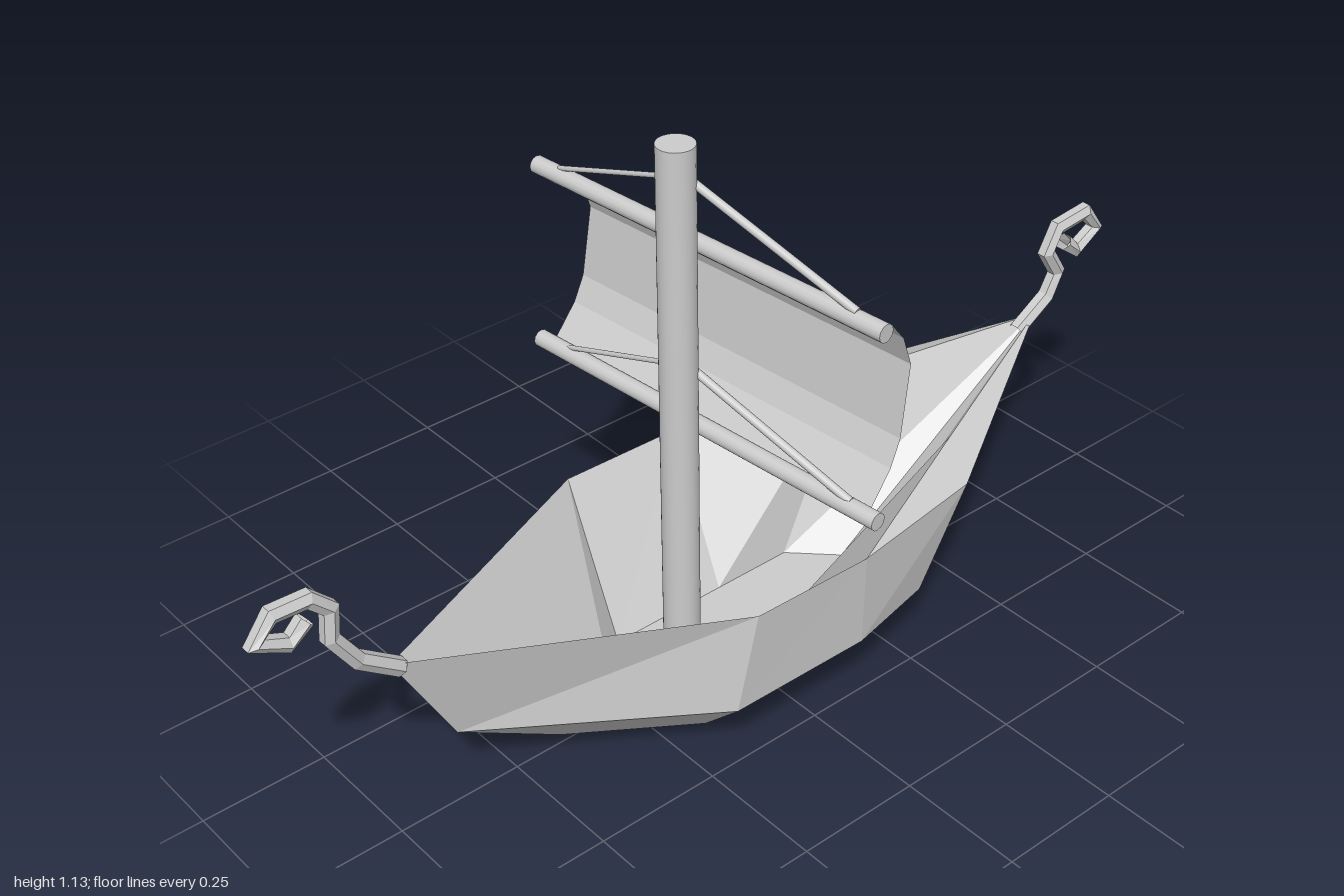
import * as THREE from 'three';

const flat = new THREE.MeshStandardMaterial({ color: 0xcccccc, flatShading: true, side: THREE.DoubleSide });
const smooth = new THREE.MeshStandardMaterial({ color: 0xcccccc });

function add(parent, name, geometry, material) {
  const mesh = new THREE.Mesh(geometry, material);
  mesh.name = name;
  parent.add(mesh);
  return mesh;
}

// Faceted surface through successive rows of [x, y, z] points
function loft(rows, flip = false) {
  const pos = [];
  for (let r = 0; r < rows.length - 1; r++) {
    for (let i = 0; i < rows[r].length - 1; i++) {
      const a = rows[r][i], b = rows[r][i + 1], c = rows[r + 1][i + 1], d = rows[r + 1][i];
      const tris = flip ? [a, b, d, b, c, d] : [a, d, b, b, d, c];
      tris.forEach((p) => pos.push(...p));
    }
  }
  const g = new THREE.BufferGeometry();
  g.setAttribute('position', new THREE.Float32BufferAttribute(pos, 3));
  g.computeVertexNormals();
  return g;
}

// Cylinder between two points
function rod(parent, name, from, to, radius, sides = 12) {
  const a = new THREE.Vector3(...from), b = new THREE.Vector3(...to);
  const dir = b.clone().sub(a);
  const mesh = add(parent, name, new THREE.CylinderGeometry(radius, radius, dir.length(), sides), smooth);
  mesh.position.copy(a).add(b).multiplyScalar(0.5);
  mesh.quaternion.setFromUnitVectors(new THREE.Vector3(0, 1, 0), dir.normalize());
  return mesh;
}

// Straight-segmented path whose tube rings fall on the corners
class CornerPath extends THREE.Curve {
  constructor(points) {
    super();
    this.points = points.map(([x, y]) => new THREE.Vector3(x, y, 0));
  }
  getPoint(t, target = new THREE.Vector3()) {
    const f = t * (this.points.length - 1);
    const i = Math.min(Math.floor(f), this.points.length - 2);
    return target.lerpVectors(this.points[i], this.points[i + 1], f - i);
  }
  getPointAt(u, target) { return this.getPoint(u, target); }
  getTangentAt(u, target) { return this.getTangent(u, target); }
}

export function createModel() {
  const group = new THREE.Group();
  group.name = 'sailingBoat';

  // Hull: outer planking, rim ledge and sloping inner lining on both sides
  const hull = new THREE.Group();
  hull.name = 'hull';
  group.add(hull);
  for (const s of [1, -1]) {
    const side = s > 0 ? 'left' : 'right';
    const row = (pts) => pts.map(([x, y, z]) => [x, y, z * s]);
    const shoulder = s > 0 ? 0.40 : 0.49;
    const rim = row([[-0.74, 0.375, 0], [-0.16, 0.335, 0.27], [0.1, 0.33, 0.27], [shoulder, 0.33, 0.228], [0.82, 0.43, 0]]);
    const innerRim = row([[-0.74, 0.375, 0], [-0.16, 0.335, 0.27], [0.1, 0.33, 0.27], [0.44, 0.377, 0.142], [0.82, 0.43, 0]]);
    const waist = row([[-0.62, 0.155, 0], [-0.2, 0.135, 0.262], [0.1, 0.135, 0.265], [0.29, 0.135, 0.225], [0.61, 0.183, 0]]);
    const chine = row([[-0.4, 0.02, 0], [-0.18, 0.02, 0.15], [0.05, 0.02, 0.155], [0.2, 0.02, 0.14], [0.37, 0.025, 0]]);
    const keel = row([[-0.4, 0.02, 0], [-0.12, 0.005, 0], [0, 0.002, 0], [0.12, 0.005, 0], [0.37, 0.025, 0]]);
    const floor = row([[-0.28, 0.08, 0], [-0.2, 0.08, 0.08], [0.05, 0.08, 0.08], [0.22, 0.08, 0.08], [0.3, 0.08, 0]]);
    const middle = floor.map(([x, y]) => [x, y, 0]);
    add(hull, side + 'Planking', loft([rim, waist, chine, keel], s < 0), flat);
    add(hull, side + 'Lining', loft([rim, innerRim, floor, middle], s > 0), flat);
  }

  // Curled stem ornaments
  const sternCurl = [[-0.72, 0.36], [-0.80, 0.42], [-0.845, 0.49], [-0.84, 0.55], [-0.877, 0.587],
    [-0.945, 0.59], [-0.98, 0.55], [-0.92, 0.52], [-0.885, 0.55]];
  const bowCurl = [[0.77, 0.41], [0.85, 0.46], [0.875, 0.51], [0.84, 0.565], [0.865, 0.612],
    [0.945, 0.62], [0.98, 0.575], [0.925, 0.54], [0.89, 0.57]];
  for (const [name, pts] of [['sternCurl', sternCurl], ['bowCurl', bowCurl]]) {
    add(group, name, new THREE.TubeGeometry(new CornerPath(pts), pts.length - 1, 0.018, 6), flat);
  }

  // Mast
  rod(group, 'mast', [-0.11, 0.05, 0], [-0.11, 1.13, 0], 0.035, 24);

  // Rig, turned slightly about the mast
  const rig = new THREE.Group();
  rig.name = 'rig';
  rig.position.x = -0.062;
  rig.rotation.y = 0.09;
  group.add(rig);
  rod(rig, 'upperYard', [0, 0.926, -0.405], [0, 0.926, 0.417], 0.017);
  rod(rig, 'lowerYard', [0, 0.554, -0.418], [0, 0.554, 0.417], 0.017);

  // Billowing sail
  const profile = [[0.005, 0.925], [0.05, 0.905], [0.078, 0.87], [0.1, 0.81], [0.082, 0.67], [0.06, 0.62], [0.012, 0.56]];
  const sail = profile.map(([x, y]) => [[x, y, 0.39], [x, y, -0.372 - 0.05 * (0.925 - y)]]);
  add(rig, 'sail', loft(sail), flat);

  // Ropes from mast to yards
  for (const [name, top, yard] of [['upper', 1.055, 0.94], ['lower', 0.685, 0.565]]) {
    rod(rig, name + 'LeftRope', [-0.025, top, 0.015], [0, yard, 0.355], 0.008, 8);
    rod(rig, name + 'RightRope', [-0.025, top, -0.015], [0, yard, -0.345], 0.005, 8);
  }
  return group;
}
